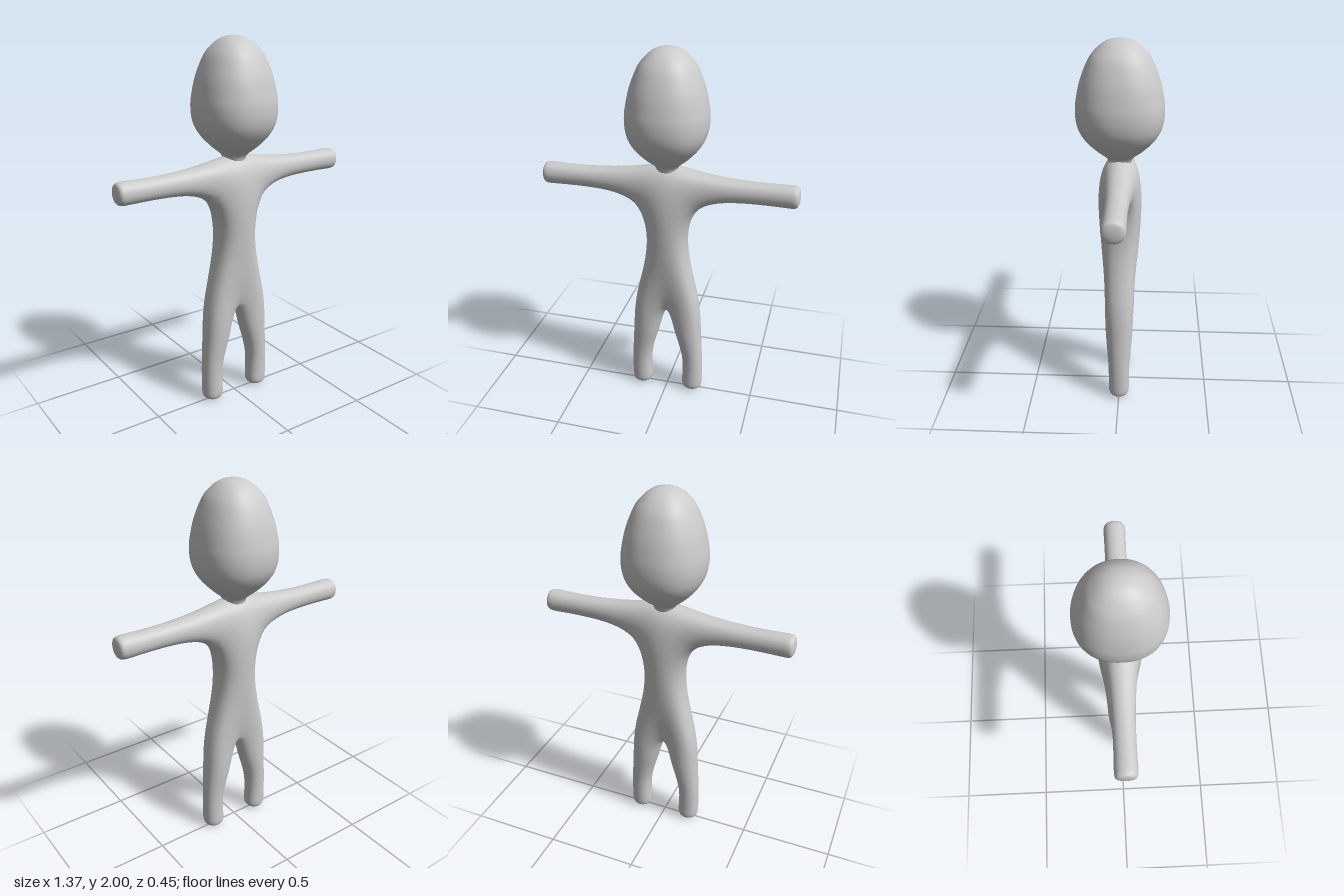
import * as THREE from 'three';
import { mergeVertices } from 'three/addons/utils/BufferGeometryUtils.js';

const V = (x, y, z) => new THREE.Vector3(x, y, z);
const average = (list) => list.reduce((s, v) => s.add(v), V(0, 0, 0)).divideScalar(list.length);

// One Catmull-Clark step on a closed quad mesh; the old vertices keep their indices.
function subdivide({ verts, faces }) {
  const facePts = faces.map((f) => average(f.map((i) => verts[i])));
  const edges = new Map();
  const touching = verts.map(() => ({ faces: [], mids: [] }));
  const key = (a, b) => (a < b ? a + '_' + b : b + '_' + a);
  faces.forEach((f, fi) => f.forEach((a, k) => {
    const b = f[(k + 1) % 4];
    touching[a].faces.push(facePts[fi]);
    if (!edges.has(key(a, b))) {
      const mid = average([verts[a], verts[b]]);
      edges.set(key(a, b), { a, b, mid, around: [] });
      touching[a].mids.push(mid);
      touching[b].mids.push(mid);
    }
    edges.get(key(a, b)).around.push(facePts[fi]);
  }));
  const moved = verts.map((p, i) => {
    const n = touching[i].mids.length;
    return average(touching[i].faces)
      .addScaledVector(average(touching[i].mids), 2)
      .addScaledVector(p, n - 3)
      .divideScalar(n);
  });
  const out = [...moved, ...facePts];
  for (const e of edges.values()) {
    e.index = out.length;
    out.push(average([verts[e.a], verts[e.b], ...e.around]));
  }
  const quads = [];
  faces.forEach((f, fi) => f.forEach((a, k) => {
    const next = edges.get(key(a, f[(k + 1) % 4])).index;
    const prev = edges.get(key(a, f[(k + 3) % 4])).index;
    quads.push([a, next, verts.length + fi, prev]);
  }));
  return { verts: out, faces: quads };
}

function smooth(mesh, levels) {
  for (let i = 0; i < levels; i++) mesh = subdivide(mesh);
  return mesh;
}

// Left half of the figure as a flat layout: x, y and half depth of each surface point.
const points = [
  [0, 0.575, 0.06], [0, 0.92, 0.103], [0, 1.2, 0.112], [0, 1.375, 0.06], // centre line
  [0.15, 0.62, 0.062], [0.098, 0.92, 0.06], [0.155, 1.2, 0.068], [0.18, 1.352, 0.052], // side
  [0.42, 1.25, 0.042], [0.42, 1.334, 0.042], // arm, lower and upper
  [0.62, 1.25, 0.042], [0.62, 1.334, 0.042],
  [0.679, 1.26, 0.032], [0.679, 1.324, 0.032],
  [0.065, 0.4, 0.054], [0.175, 0.4, 0.054], // leg, inner and outer
  [0.106, 0.22, 0.044], [0.19, 0.22, 0.044],
  [0.108, 0.07, 0.042], [0.192, 0.07, 0.042],
  [0.119, 0.011, 0.031], [0.181, 0.011, 0.031],
];
const cells = [
  [0, 4, 5, 1], [1, 5, 6, 2], [2, 6, 7, 3], // hip, waist, chest
  [6, 8, 9, 7], [8, 10, 11, 9], [10, 12, 13, 11], // arm
  [14, 15, 4, 0], [16, 17, 15, 14], [18, 19, 17, 16], [20, 21, 19, 18], // leg
];

// Mirrors the layout and gives it a front, a back and walls along its outline.
function buildCage() {
  const flat = points.map((p) => [...p]);
  const mirror = points.map(([x, y, z], i) => (x === 0 ? i : flat.push([-x, y, z]) - 1));
  const quads = [...cells, ...cells.map((c) => c.map((i) => mirror[i]).reverse())];
  const n = flat.length;
  const verts = [...flat.map(([x, y, z]) => V(x, y, z)), ...flat.map(([x, y, z]) => V(x, y, -z))];
  const faces = [];
  const used = new Set();
  quads.forEach((q) => q.forEach((a, k) => used.add(a + '_' + q[(k + 1) % 4])));
  for (const q of quads) {
    faces.push(q, q.map((i) => i + n).reverse());
    q.forEach((a, k) => {
      const b = q[(k + 1) % 4];
      if (!used.has(b + '_' + a)) faces.push([a, a + n, b + n, b]);
    });
  }
  return { verts, faces };
}

// Body: adjust the cage until the smoothed skin passes through the layout points.
function bodyGeometry() {
  const target = buildCage();
  const cage = { verts: target.verts.map((v) => v.clone()), faces: target.faces };
  for (let i = 0; i < 10; i++) {
    const skin = smooth(cage, 3);
    cage.verts.forEach((v, k) => v.add(target.verts[k]).sub(skin.verts[k]));
  }
  const { verts, faces } = smooth(cage, 3);
  const geo = new THREE.BufferGeometry().setFromPoints(verts);
  geo.setIndex(faces.flatMap(([a, b, c, d]) => [a, b, c, a, c, d]));
  geo.computeVertexNormals();
  return geo;
}

// Head: egg profile turned around y, then made slightly square in plan.
function headGeometry() {
  const profile = [
    [0.055, 1.37], [0.063, 1.4], [0.085, 1.42], [0.12, 1.45], [0.166, 1.5], [0.195, 1.55],
    [0.208, 1.6], [0.211, 1.65], [0.207, 1.7], [0.186, 1.8], [0.147, 1.9], [0.11, 1.95],
    [0.073, 1.981], [0.036, 1.996], [0, 2],
  ].map(([r, y]) => new THREE.Vector2(r, y));
  const curve = new THREE.SplineCurve(profile).getSpacedPoints(48);
  let geo = new THREE.LatheGeometry(curve, 64);
  const pos = geo.attributes.position;
  const n = 2.25;
  for (let i = 0; i < pos.count; i++) {
    const x = pos.getX(i), z = pos.getZ(i), r = Math.hypot(x, z);
    if (r < 1e-6) continue;
    const f = Math.pow(Math.abs(x / r) ** n + Math.abs(z / r) ** n, -1 / n);
    pos.setXYZ(i, x * f, pos.getY(i), z * f * 1.065);
  }
  geo.deleteAttribute('normal');
  geo.deleteAttribute('uv');
  geo = mergeVertices(geo, 1e-5);
  geo.computeVertexNormals();
  return geo;
}

export function createModel() {
  const group = new THREE.Group();
  group.name = 'figure';
  const material = new THREE.MeshStandardMaterial({ color: 0xcccccc });
  for (const [name, geo] of [['body', bodyGeometry()], ['head', headGeometry()]]) {
    const mesh = new THREE.Mesh(geo, material);
    mesh.name = name;
    group.add(mesh);
  }
  return group;
}
